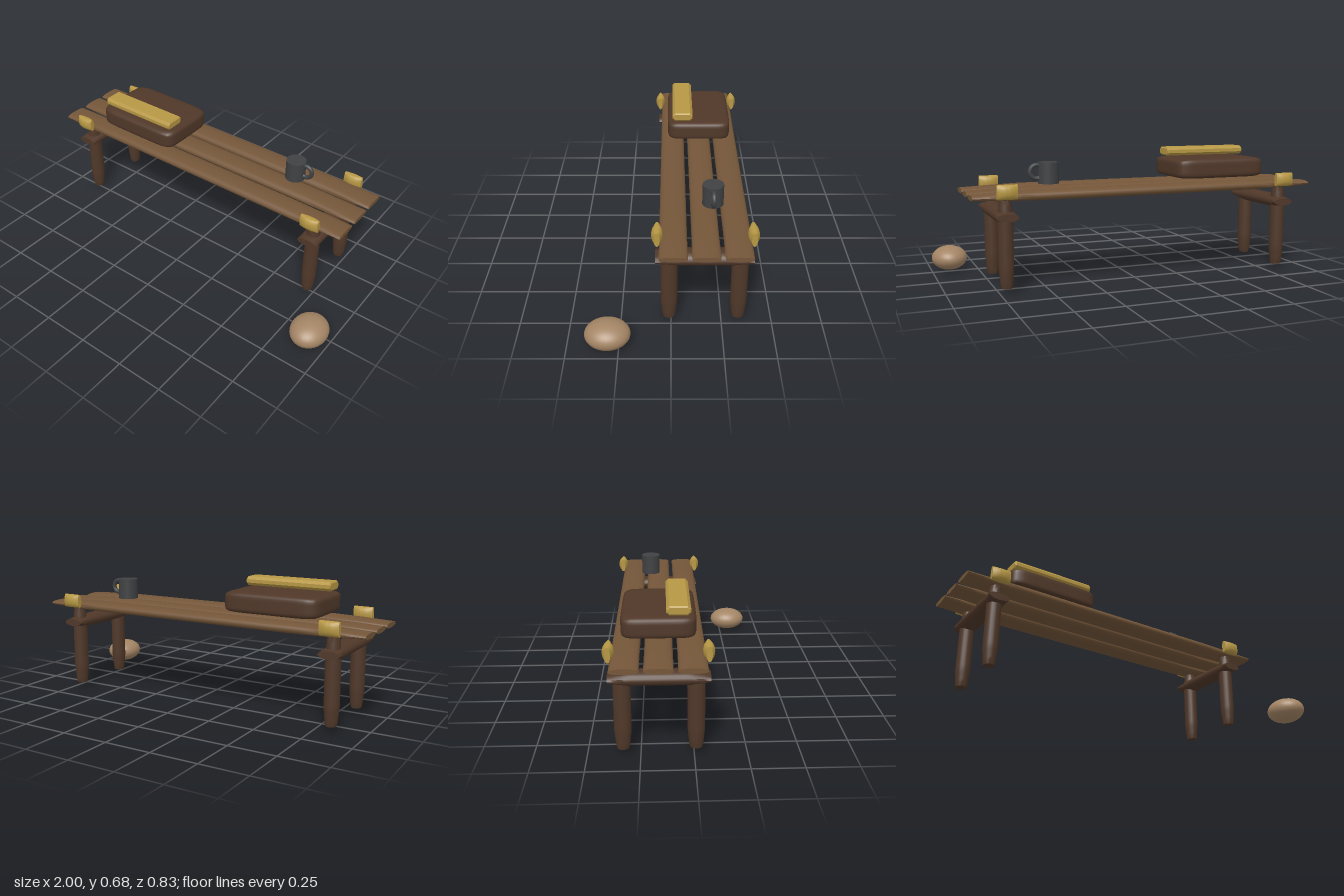
import * as THREE from 'three';
import { toCreasedNormals } from 'three/addons/utils/BufferGeometryUtils.js';

const mat = (name, color) => {
  const m = new THREE.MeshStandardMaterial({ color });
  m.name = name;
  return m;
};

// Linear lookup in a list of [t, value] stations, t in 0..1
function lookup(stations, t) {
  for (let i = 1; i < stations.length; i++) {
    const [t0, v0] = stations[i - 1], [t1, v1] = stations[i];
    if (t <= t1) return v0 + (v1 - v0) * (t - t0) / (t1 - t0);
  }
  return stations[stations.length - 1][1];
}

// Rounded timber along y; half widths a (x) and b (z) are scaled along its length
function timber(length, a, b, scaleA, scaleB, power = 2, segments = 24) {
  const g = new THREE.CylinderGeometry(1, 1, length, 20, segments);
  const p = g.attributes.position;
  const soft = (v) => Math.sign(v) * Math.abs(v) ** (2 / power);
  for (let i = 0; i < p.count; i++) {
    const t = p.getY(i) / length + 0.5;
    p.setX(i, soft(p.getX(i)) * a * lookup(scaleA, t));
    p.setZ(i, soft(p.getZ(i)) * b * lookup(scaleB, t));
  }
  return toCreasedNormals(g, 0.7);
}

export function createModel() {
  const model = new THREE.Group();
  model.name = 'bench';
  const plank = mat('plankBrown', 0x745639);
  const dark = mat('darkBrown', 0x503829);
  const gold = mat('gold', 0xb69744);
  const iron = mat('iron', 0x3f4143);
  const stone = mat('tan', 0xa48565);

  const add = (name, geometry, material, x, y, z, parent = model) => {
    const m = new THREE.Mesh(geometry, material);
    m.name = name;
    m.position.set(x, y, z);
    parent.add(m);
    return m;
  };
  const even = [[0, 1], [1, 1]];

  // Three seat planks, thinned towards both ends
  const plankGeo = timber(1.88, 0.026, 0.066,
    [[0, 0.5], [0.083, 0.8], [0.17, 1], [0.83, 1], [0.917, 0.8], [1, 0.5]], even, 2.5);
  plankGeo.rotateZ(Math.PI / 2);
  [-0.01, -0.162, -0.313].forEach((z) => add('seatPlank', plankGeo, plank, -0.06, 0.482, z));

  // Legs, cross beams and end pegs
  const legEnds = [[0, 0.72], [0.042, 0.82], [0.21, 1], [0.79, 1], [0.875, 0.92], [1, 0.75]];
  const legGeo = timber(0.445, 0.038, 0.041, legEnds, legEnds);
  const beamGeo = timber(0.47, 0.055, 0.036, even,
    [[0, 0.55], [0.083, 0.75], [0.21, 1], [0.79, 1], [0.917, 0.75], [1, 0.55]]);
  beamGeo.rotateX(Math.PI / 2);
  const pegGeo = timber(0.1, 0.037, 0.027, even,
    [[0, 0.5], [0.25, 0.9], [0.4, 1], [0.6, 1], [0.75, 0.9], [1, 0.5]], 2.2);
  pegGeo.rotateZ(Math.PI / 2);
  for (const x of [-0.83, 0.715]) {
    add('crossBeam', beamGeo, dark, x, 0.385, -0.16);
    for (const side of [1, -1]) {
      add('leg', legGeo, dark, x, 0.251, -0.161 + side * 0.171);
      add('peg', pegGeo, gold, x, 0.51, -0.161 + side * 0.227);
    }
  }

  // Cushion: a box softened and bulged by rule
  const cushionGeo = new THREE.BoxGeometry(2, 2, 2, 16, 10, 16);
  const p = cushionGeo.attributes.position;
  for (let i = 0; i < p.count; i++) {
    const v = [p.getX(i), p.getY(i), p.getZ(i)];
    const k = 1 / Math.pow(v.reduce((s, c) => s + Math.abs(c) ** 8, 0), 1 / 8);
    p.setXYZ(i, v[0] * k * 0.258, v[1] * k * 0.0535, v[2] * k * 0.179);
  }
  add('cushion', toCreasedNormals(cushionGeo, 0.9), dark, -0.482, 0.578, -0.161);

  // Bar with chamfered edges above the cushion
  const [w, h, c] = [0.0575, 0.023, 0.014];
  const outline = [[-w, -h + c], [-w + c, -h], [w - c, -h], [w, -h + c],
    [w, h - c], [w - c, h], [-w + c, h], [-w, h - c]];
  const barGeo = new THREE.ExtrudeGeometry(
    new THREE.Shape(outline.map(([x, y]) => new THREE.Vector2(x, y))),
    { depth: 0.456, bevelThickness: 0.007, bevelSize: 0.007, bevelOffset: -0.007, bevelSegments: 1 });
  barGeo.translate(0, 0, -0.228);
  barGeo.rotateY(Math.PI / 2);
  add('goldBar', barGeo, gold, -0.485, 0.66, -0.067);

  // Mug with a ring handle
  const mug = new THREE.Group();
  mug.name = 'mug';
  mug.position.set(0.46, 0.578, -0.208);
  model.add(mug);
  add('mugBody', new THREE.CylinderGeometry(0.053, 0.053, 0.109, 24), iron, 0, 0, 0, mug);
  const handle = add('mugHandle', new THREE.TorusGeometry(0.034, 0.011, 10, 24), iron, 0.063, 0.007, 0, mug);
  handle.scale.set(1.02, 1.02, 1.1);

  // Smooth stone beside the bench
  const stoneMesh = add('stone', new THREE.SphereGeometry(1, 28, 20), stone, 0.9, 0.067, 0.303);
  stoneMesh.scale.set(0.096, 0.067, 0.111);

  return model;
}
